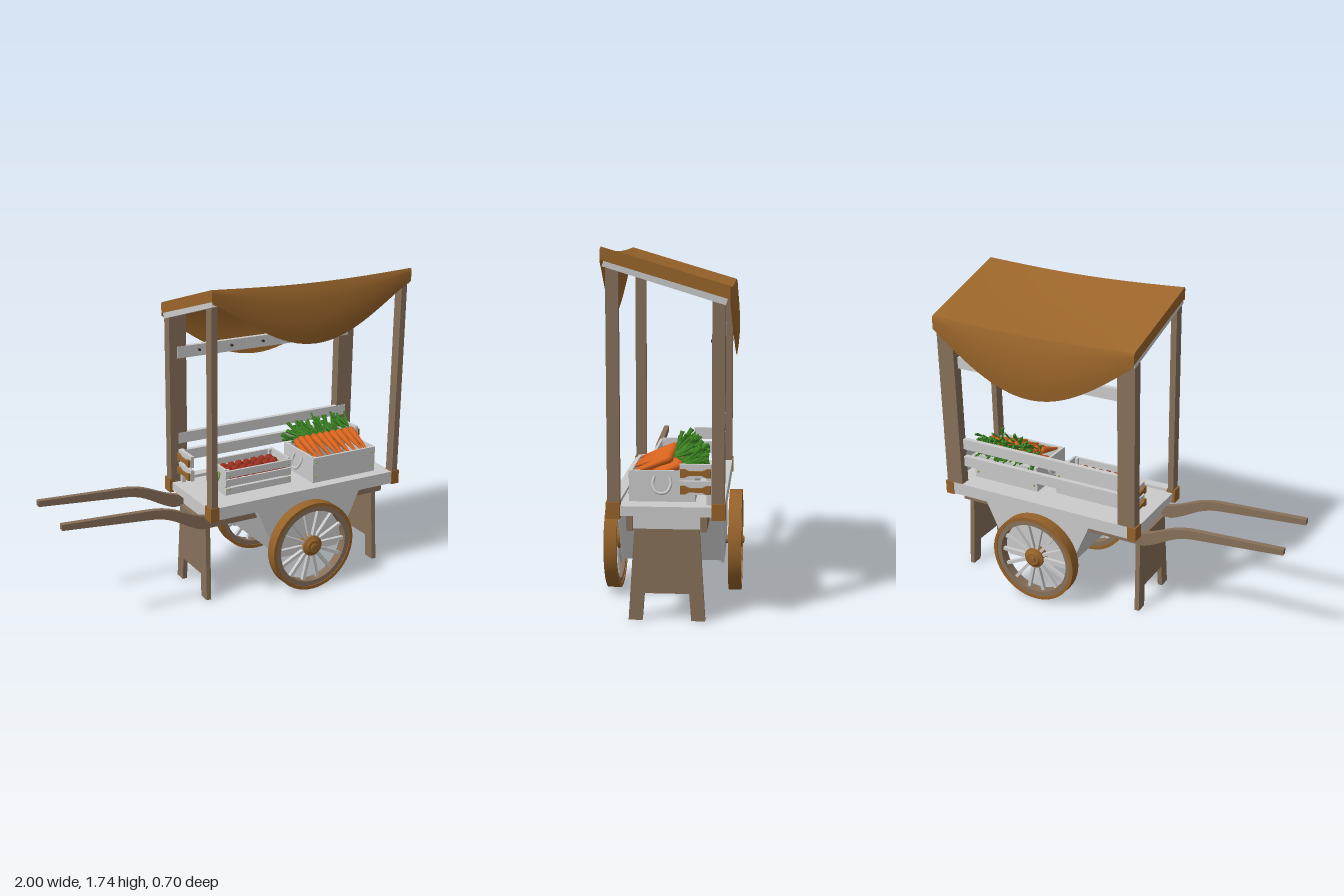
import * as THREE from 'three';
import { toCreasedNormals } from 'three/addons/utils/BufferGeometryUtils.js';

const mat = (color, side = THREE.FrontSide) => new THREE.MeshStandardMaterial({ color, side });
const grey = mat(0xcccccc), wood = mat(0x87705a), brown = mat(0x96622a), cloth = mat(0x9a652a, THREE.DoubleSide);
const dark = mat(0x3a3028), green = mat(0x7fae4a), leaf = mat(0x3f8a24, THREE.DoubleSide), orange = mat(0xd8641e), red = mat(0x9a3020);
const MID = 0.39; // x of the cart body's centre

function add(parent, name, geo, material, x = 0, y = 0, z = 0) {
  const m = new THREE.Mesh(geo, material);
  m.name = name;
  m.position.set(x, y, z);
  parent.add(m);
  return m;
}
// box given by its min and max corners
function box(parent, name, material, x0, x1, y0, y1, z0, z1) {
  return add(parent, name, new THREE.BoxGeometry(x1 - x0, y1 - y0, z1 - z0), material, (x0 + x1) / 2, (y0 + y1) / 2, (z0 + z1) / 2);
}
const poly = pts => new THREE.Shape(pts.map(p => new THREE.Vector2(...p)));
// extrusion centred on its own depth
function slab(shape, depth) {
  return new THREE.ExtrudeGeometry(shape, { depth, bevelEnabled: false, curveSegments: 10 }).translate(0, 0, -depth / 2);
}
let seed = 7;
const rnd = () => (seed = (seed * 16807) % 2147483647) / 2147483647;

// cloth roof: a strip swept along x, with hanging scalloped flaps and short end lips
function canopyGeometry() {
  const NU = 30, NF = 7, NT = 10, pos = [], idx = [];
  const cols = 2 * NF + NT + 1, rows = NU + 3;
  for (let r = 0; r < rows; r++) {
    const lip = r === 0 || r === rows - 1;
    const t = THREE.MathUtils.clamp((r - 1) / NU, 0, 1) * 2 - 1;
    const sag = Math.cos(t * Math.PI / 2);
    const top = z => 1.65 + z * 0.3 - 0.02 * sag - 0.02 * sag * (1 - (z / 0.285) ** 2);
    for (let c = 0; c < cols; c++) {
      const f = c < NF ? 1 - c / NF : c > NF + NT ? (c - NF - NT) / NF : 0;
      const s = c <= NF ? 1 : c >= NF + NT ? -1 : 1 - 2 * (c - NF) / NT;
      let z = s * 0.285, y = top(z);
      if (f) {
        const bottom = s > 0 ? 1.665 - 0.265 * sag ** 1.15 : 1.49 - 0.285 * sag;
        y = THREE.MathUtils.lerp(y, bottom, f);
        z += s * (0.006 + sag * (0.025 * Math.sin(f * 2.6) + 0.003));
      }
      if (lip) y = Math.min(y, top(z) - 0.06);
      pos.push(MID + t * 0.602, y, z);
      if (r && c) {
        const a = (r - 1) * cols + c - 1, b = a + cols;
        idx.push(a, b, a + 1, b, b + 1, a + 1);
      }
    }
  }
  const g = new THREE.BufferGeometry();
  g.setAttribute('position', new THREE.Float32BufferAttribute(pos, 3));
  g.setIndex(idx);
  return toCreasedNormals(g, 0.8);
}

function wheel() {
  const g = new THREE.Group();
  g.name = 'wheel';
  const ring = (r0, r1, h) => toCreasedNormals(new THREE.LatheGeometry(
    [[r0, -h], [r1, -h], [r1, h], [r0, h], [r0, -h]].map(p => new THREE.Vector2(...p)), 48).rotateX(Math.PI / 2), 0.6);
  add(g, 'tyre', ring(0.236, 0.255, 0.032), brown);
  add(g, 'rim', ring(0.208, 0.237, 0.027), wood);
  for (let i = 0; i < 14; i++) {
    const a = i / 14 * Math.PI * 2;
    const s = add(g, 'spoke', new THREE.BoxGeometry(0.17, 0.018, 0.02), grey, Math.cos(a) * 0.13, Math.sin(a) * 0.13, 0);
    s.rotation.z = a;
  }
  const hub = [[0, -0.03], [0.058, -0.03], [0.058, 0.02], [0.04, 0.028], [0.036, 0.034], [0.02, 0.034], [0.018, 0.042], [0, 0.044]];
  add(g, 'hub', toCreasedNormals(new THREE.LatheGeometry(hub.map(p => new THREE.Vector2(...p)), 24).rotateX(Math.PI / 2), 0.6), brown);
  return g;
}

// open crate with corner blocks, side boards, screws and a U handle on each end
function crate(name, x0, x1, z0, z1, h, slats, handleMat) {
  const g = new THREE.Group(), y = 0.56, t = 0.014, step = h / slats, gap = slats > 1 ? 0.01 : 0;
  g.name = name;
  box(g, 'crateFloor', grey, x0 + t, x1 - t, y, y + 0.015, z0 + t, z1 - t);
  for (let i = 0; i < slats; i++) {
    const a = y + i * step + gap / 2, b = y + (i + 1) * step - gap / 2;
    box(g, 'frontBoard', grey, x0, x1, a, b, z1 - t, z1);
    box(g, 'backBoard', grey, x0, x1, a, b, z0, z0 + t);
  }
  for (const x of [x0, x1 - t]) box(g, 'endBoard', grey, x, x + t, y, y + h + 0.002, z0 + t, z1 - t);
  for (const x of [x0 + t, x1 - t - 0.018]) for (const z of [z0 + t, z1 - t - 0.018])
    box(g, 'cornerBlock', grey, x, x + 0.018, y, y + h - 0.003, z, z + 0.018);
  for (const x of [x0 + 0.02, x1 - 0.02]) for (const k of [0.25, 0.8]) for (const z of [z0, z1])
    add(g, 'screw', new THREE.SphereGeometry(0.006, 8, 6), green, x, y + h * k, z);
  const zc = (z0 + z1) / 2;
  for (const s of [-1, 1]) {
    const pts = [[0, 0.03, 0.035], [0.012, -0.005, 0.042], [0.026, -0.04, 0.022], [0.026, -0.04, -0.022], [0.012, -0.005, -0.042], [0, 0.03, -0.035]];
    const curve = new THREE.CatmullRomCurve3(pts.map(p => new THREE.Vector3(s * p[0], p[1], p[2])));
    add(g, 'crateHandle', new THREE.TubeGeometry(curve, 20, 0.007, 8), handleMat, s > 0 ? x1 : x0, y + h * 0.62, zc);
  }
  return g;
}

function carrot() {
  const g = new THREE.Group();
  g.name = 'carrot';
  const prof = [[0, -0.2], [0.006, -0.19], [0.014, -0.1], [0.02, -0.02], [0.015, -0.003], [0, 0]];
  add(g, 'carrotRoot', new THREE.LatheGeometry(prof.map(p => new THREE.Vector2(...p)), 10), orange);
  for (let i = 0; i < 7; i++) {
    const len = 0.07 + rnd() * 0.06;
    const frond = add(g, 'carrotLeaf', new THREE.ConeGeometry(0.013, len, 4).rotateX(Math.PI).scale(1, 1, 0.45).translate(0, len / 2, 0), leaf);
    frond.rotation.set((rnd() - 0.5) * 1.1, rnd() * 6, (rnd() - 0.5) * 1.1);
  }
  return g;
}

export function createModel() {
  const root = new THREE.Group();
  root.name = 'marketCart';

  // deck with front and back rails
  box(root, 'deck', grey, -0.2, 0.98, 0.51, 0.556, -0.22, 0.22);
  for (const s of [-1, 1]) {
    add(root, 'deckRail', new THREE.BoxGeometry(1.19, 0.07, 0.055), grey, MID, 0.538, s * 0.243);
    add(root, 'crossBeam', new THREE.BoxGeometry(0.06, 0.07, 0.31), grey, MID + s * 0.52, 0.477, 0);
    // corner caps, posts and sloped roof beams
    for (const z of [0.243, -0.243]) add(root, 'cornerCap', new THREE.BoxGeometry(0.05, 0.078, 0.064), brown, MID + s * 0.58, 0.537, z);
    add(root, 'frontPost', new THREE.BoxGeometry(0.034, 1.13, 0.058), wood, MID + s * 0.578, 1.105, 0.24);
    add(root, 'backPost', new THREE.BoxGeometry(0.1, 0.97, 0.058), wood, MID + s * 0.546, 1.025, -0.24);
    const beam = add(root, 'roofBeam', new THREE.BoxGeometry(0.035, 0.04, 0.58), grey, MID + s * 0.58, 1.582, 0);
    beam.rotation.x = -0.3;
    // end boards of the bench back, with shaped brown brackets
    for (const y of [0.637, 0.715]) {
      add(root, 'endPlank', new THREE.BoxGeometry(0.02, 0.064, 0.15), grey, MID + s * 0.54, y, -0.135);
      const w = [[-0.07, -0.02], [-0.05, -0.02], [-0.03, -0.01], [0.03, -0.01], [0.05, -0.02], [0.07, -0.02]];
      const outline = poly([...w, ...w.map(p => [p[0], -p[1]]).reverse()]);
      add(root, 'bracket', slab(outline, 0.016).rotateY(Math.PI / 2), brown, MID + s * 0.556, y - 0.008, -0.135);
    }
    box(root, 'endUpright', grey, MID + s * 0.53 - 0.01, MID + s * 0.53 + 0.01, 0.555, 0.745, -0.21, -0.185);
  }

  // back boards, the top one with pegs
  for (const [y0, y1] of [[0.675, 0.735], [0.78, 0.84], [1.265, 1.33]]) box(root, 'backBoard', grey, -0.16, 0.945, y0, y1, -0.235, -0.208);
  for (let i = 0; i < 5; i++)
    add(root, 'peg', new THREE.CylinderGeometry(0.007, 0.007, 0.02, 10).rotateX(Math.PI / 2), dark, -0.03 + i * 0.2, 1.3, -0.205);

  add(root, 'canopy', canopyGeometry(), cloth);

  // handle bars running under the deck
  const bar = new THREE.Shape();
  bar.moveTo(0.94, 0.43);
  bar.lineTo(-0.22, 0.43);
  bar.bezierCurveTo(-0.34, 0.47, -0.38, 0.54, -0.53, 0.548);
  bar.lineTo(-1, 0.588);
  bar.lineTo(-1, 0.62);
  bar.lineTo(-0.53, 0.597);
  bar.bezierCurveTo(-0.36, 0.59, -0.33, 0.53, -0.2, 0.5);
  bar.lineTo(0.94, 0.5);
  for (const s of [-1, 1]) add(root, 'handleBar', slab(bar, 0.03), wood, 0, 0, s * 0.172);

  // trestle legs
  const legShape = poly([[-0.18, 0], [-0.115, 0], [-0.105, 0.13], [0.105, 0.13], [0.115, 0], [0.18, 0], [0.152, 0.44], [-0.152, 0.44]]);
  for (const [x, tilt] of [[-0.178, -0.02], [0.918, 0.02]]) {
    const leg = add(root, 'leg', slab(legShape, 0.027).rotateY(Math.PI / 2), wood, x, 0, 0);
    leg.rotation.z = tilt;
  }

  // hopper between the wheels
  const hopper = k => poly([[0.22 - k, 0.2 - k], [0.59 + k, 0.2 - k], [0.735 + k, 0.51], [0.08 - k, 0.51]]);
  add(root, 'hopper', slab(hopper(0), 0.48), grey);
  for (const s of [-1, 1]) add(root, 'hopperSide', slab(hopper(0.008), 0.014), grey, 0, 0, s * 0.248);

  // wheels and axle
  for (const s of [-1, 1]) {
    const w = wheel();
    w.position.set(MID, 0.257, s * 0.307);
    if (s < 0) w.rotation.y = Math.PI;
    root.add(w);
  }
  add(root, 'axle', new THREE.CylinderGeometry(0.022, 0.022, 0.6, 16).rotateX(Math.PI / 2), wood, MID, 0.257, 0);

  // slatted crate of round fruit
  const fruit = crate('fruitCrate', -0.04, 0.37, -0.1, 0.12, 0.145, 3, green);
  for (let i = 0; i < 8; i++) for (let j = 0; j < 4; j++)
    add(fruit, 'fruit', new THREE.SphereGeometry(0.026, 12, 8), red, -0.005 + i * 0.0485, 0.638 + rnd() * 0.016, -0.063 + j * 0.049);
  root.add(fruit);

  // solid crate with two layers of carrots leaning on its front edge
  const veg = crate('carrotCrate', 0.475, 0.89, -0.13, 0.18, 0.145, 1, grey);
  for (let layer = 0; layer < 2; layer++) for (let i = 0; i < 9; i++) {
    const c = carrot();
    c.position.set(0.512 + i * 0.0425, 0.762 - layer * 0.032, -0.02 - layer * 0.045);
    c.rotation.set(-1.27 + rnd() * 0.1, 0, (rnd() - 0.5) * 0.1);
    veg.add(c);
  }
  root.add(veg);
  return root;
}
